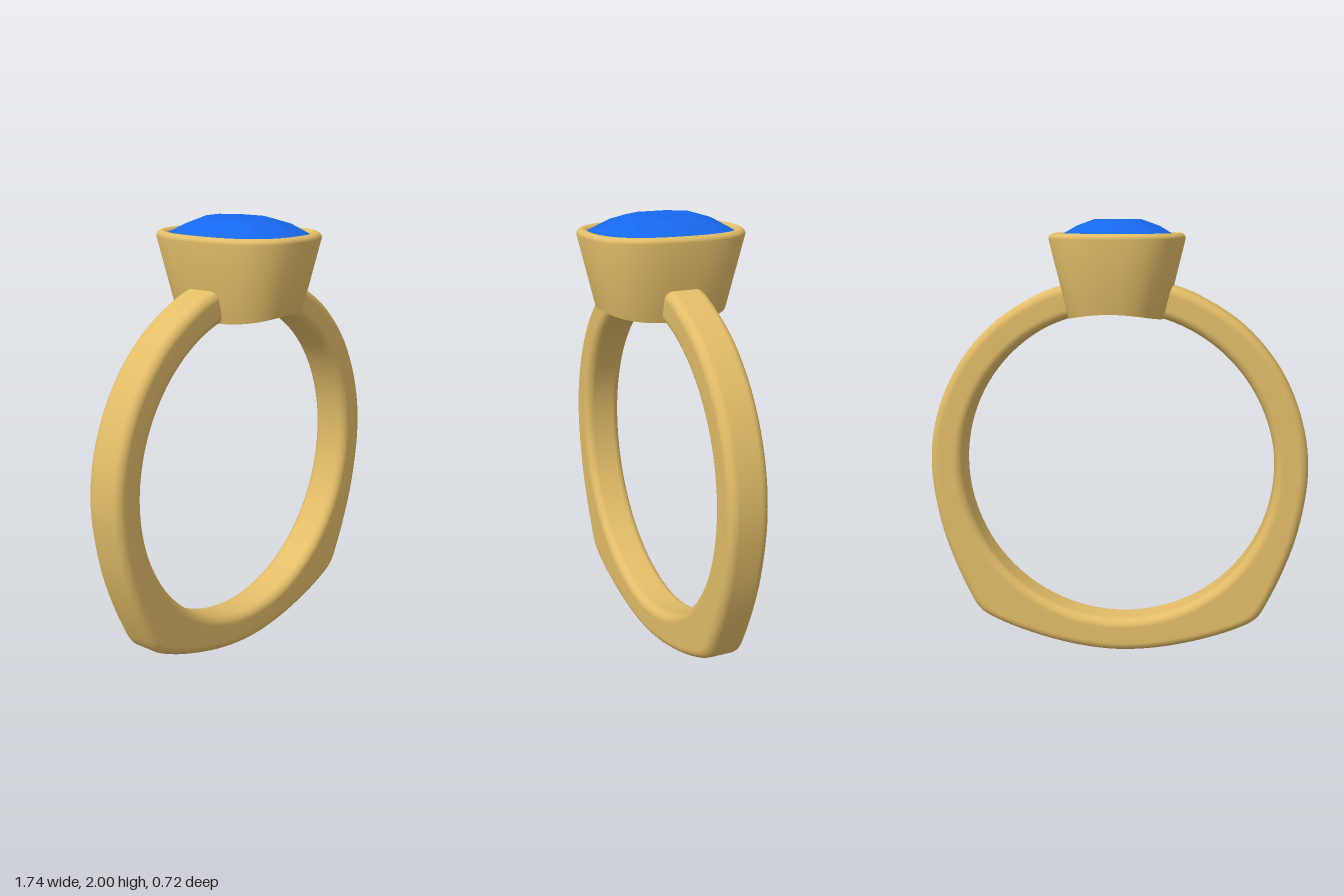
import * as THREE from 'three';
import { toCreasedNormals } from 'three/addons/utils/BufferGeometryUtils.js';
import { ConvexGeometry } from 'three/addons/geometries/ConvexGeometry.js';

const CENTRE_Y = 0.875; // centre of the finger hole
const HOLE_R = 0.72;
const BAND_R = 0.87;
const HALF_DEPTH = 0.092;

// Skin a list of closed cross-sections; `loop` joins the last to the first.
function loft(sections, loop = false) {
  const n = sections[0].length, m = sections.length, index = [];
  for (let i = 0; i < (loop ? m : m - 1); i++) {
    for (let j = 0; j < n; j++) {
      const a = i * n + j, b = i * n + (j + 1) % n;
      const k = (i + 1) % m;
      const c = k * n + (j + 1) % n, d = k * n + j;
      index.push(a, b, c, a, c, d);
    }
  }
  const geo = new THREE.BufferGeometry().setFromPoints(sections.flat());
  geo.setIndex(index);
  geo.computeVertexNormals();
  return geo;
}

// Cushion-shaped outline (superellipse) at one height.
function cushion(hx, hz, y, count, offset = 0, power = 2.6) {
  const bend = v => Math.sign(v) * Math.pow(Math.abs(v), 2 / power);
  return Array.from({ length: count }, (_, j) => {
    const a = (j + offset) / count * Math.PI * 2;
    const x = hx * bend(Math.cos(a)), z = -hz * bend(Math.sin(a));
    // With no height given, the outline lies on the finger-hole cylinder.
    const h = y ?? CENTRE_Y + Math.sqrt((HOLE_R + 0.002) ** 2 - x * x);
    return new THREE.Vector3(x, h, z);
  });
}

// Band: rounded section swept around the hole, thick at the two lower shoulders,
// with its ends buried in the bezel wall.
function bandGeometry() {
  const half = [0.253, 0.4, 0.7, 1.0, 1.3, 1.57].map(a =>
    new THREE.Vector3(Math.sin(a) * BAND_R, CENTRE_Y + Math.cos(a) * BAND_R, 0));
  for (const [x, y] of [[0.832, 0.6], [0.766, 0.4], [0.69, 0.235], [0.667, 0.195],
    [0.635, 0.163], [0.52, 0.107], [0.33, 0.046], [0.16, 0.012]]) {
    half.push(new THREE.Vector3(x, y, 0));
  }
  const mirrored = half.map(p => new THREE.Vector3(-p.x, p.y, 0)).reverse();
  const outline = new THREE.CatmullRomCurve3([...half, new THREE.Vector3(0, 0, 0), ...mirrored]);

  const corner = 0.04, steps = 6;
  const sections = outline.getSpacedPoints(220).map(p => {
    const dir = new THREE.Vector2(p.x, p.y - CENTRE_Y);
    const outer = dir.length();
    dir.normalize();
    const ring = [];
    [[1, 1], [-1, 1], [-1, -1], [1, -1]].forEach(([sr, sz], q) => {
      for (let s = 0; s <= steps; s++) {
        const a = (q + s / steps) * Math.PI / 2;
        const r = (sr > 0 ? outer - corner : HOLE_R + corner) + Math.cos(a) * corner;
        const z = sz * (HALF_DEPTH - corner) + Math.sin(a) * corner;
        ring.push(new THREE.Vector3(dir.x * r, CENTRE_Y + dir.y * r, z));
      }
    });
    return ring;
  });
  // Close both ends by collapsing a section to its middle.
  const collapse = ring => {
    const mid = ring.reduce((s, p) => s.add(p), new THREE.Vector3()).divideScalar(ring.length);
    return ring.map(() => mid.clone());
  };
  return loft([collapse(sections[0]), ...sections, collapse(sections.at(-1))]);
}

// Bezel: tapered cushion cup with a rounded rim, open below.
function bezelGeometry() {
  const profile = [[0.217, 0.287, null]];
  const rim = 0.024;
  for (let s = 0; s <= 10; s++) {
    const a = s / 10 * Math.PI;
    const off = Math.cos(a) * rim;
    profile.push([0.277 + off, 0.338 + off, 1.916 + Math.sin(a) * rim]);
  }
  profile.push([0.25, 0.31, 1.9], [0.2, 0.255, 1.82], [0.12, 0.165, null],
    [0.15, 0.205, null], [0.185, 0.245, null]);
  const sections = profile.map(([hx, hz, y]) => cushion(hx, hz, y, 96));
  return toCreasedNormals(loft(sections, true), 0.7);
}

// Gem: faceted crown, girdle and pavilion.
function gemGeometry() {
  return new ConvexGeometry([
    ...cushion(0.105, 0.16, 2.0, 8, 0.5, 2.2),
    ...cushion(0.185, 0.243, 1.972, 8, 0, 2.4),
    ...cushion(0.258, 0.318, 1.926, 32),
    ...cushion(0.25, 0.31, 1.91, 32),
    ...cushion(0.15, 0.2, 1.81, 8, 0.5),
    new THREE.Vector3(0, 1.74, 0),
  ]);
}

export function createModel() {
  const gold = new THREE.MeshStandardMaterial({ color: 0xe2bd68 });
  const blue = new THREE.MeshStandardMaterial({ color: 0x1668ee, flatShading: true });
  const group = new THREE.Group();
  group.name = 'ring';
  const add = (name, geometry, material) => {
    const mesh = new THREE.Mesh(geometry, material);
    mesh.name = name;
    group.add(mesh);
  };
  add('band', bandGeometry(), gold);
  add('bezel', bezelGeometry(), gold);
  add('gem', gemGeometry(), blue);
  return group;
}
